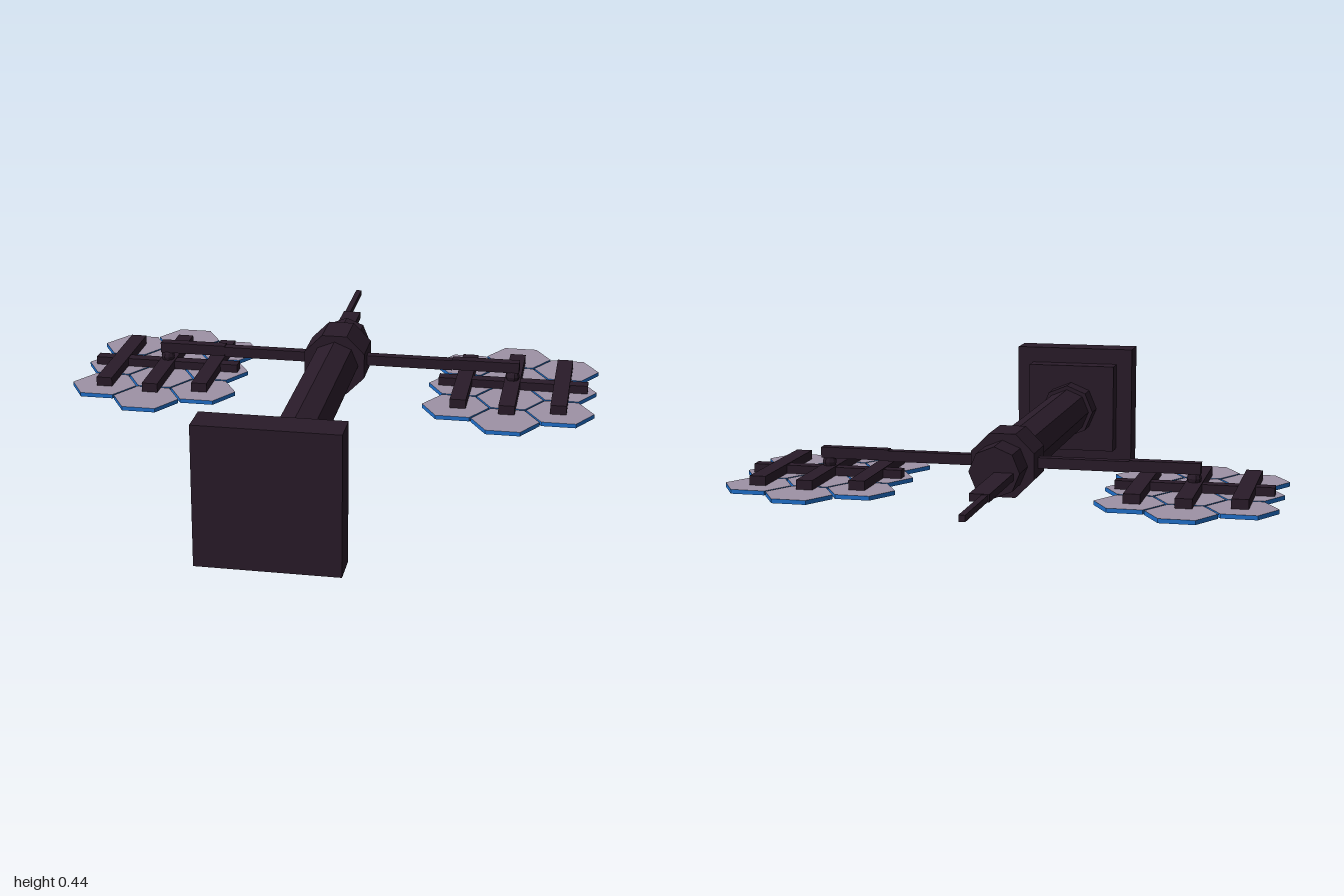
import * as THREE from 'three';

export function createModel() {
  const model = new THREE.Group();
  model.name = 'satellite';

  const mat = (name, color) => {
    const m = new THREE.MeshStandardMaterial({ color, flatShading: true });
    m.name = name;
    return m;
  };
  const hull = mat('dark hull', 0x291b29);
  const backing = mat('mauve panel back', 0x9e92a6);
  const edge = mat('blue panel edge', 0x1f70cc);
  const cell = mat('navy solar cell', 0x38395c);

  const add = (parent, name, geometry, material, x, y, z) => {
    const mesh = new THREE.Mesh(geometry, material);
    mesh.name = name;
    mesh.position.set(x, y, z);
    parent.add(mesh);
    return mesh;
  };
  // Box given by its limits on each axis
  const box = (parent, name, x0, x1, y0, y1, z0, z1) =>
    add(parent, name, new THREE.BoxGeometry(x1 - x0, y1 - y0, z1 - z0), hull,
      (x0 + x1) / 2, (y0 + y1) / 2, (z0 + z1) / 2);
  // Eight-sided prism along z
  const AXIS = 0.224;
  const octagon = (name, r, z0, z1, turn = 0) => {
    const g = new THREE.CylinderGeometry(r, r, z1 - z0, 8);
    g.rotateY(turn).rotateX(Math.PI / 2);
    return add(model, name, g, hull, 0, AXIS, (z0 + z1) / 2);
  };

  // Square stepped end plate
  box(model, 'endPlate', -0.22, 0.22, 0, 0.443, 0.893, 1);
  box(model, 'endPlateStep', -0.162, 0.162, 0.062, 0.386, 0.822, 0.893);

  // Main body
  octagon('collar', 0.098, 0.74, 0.822);
  octagon('mainTube', 0.083, -0.415, 0.74);
  octagon('hub', 0.1125, -0.3, -0.15, Math.PI / 8);

  // Off-centre antenna
  box(model, 'antennaBase', -0.063, 0, 0.201, 0.225, -0.73, -0.41);
  box(model, 'antennaTip', -0.059, -0.039, 0.203, 0.223, -1, -0.73);

  // Solar wings, one on each side
  const R = 0.1125, PITCH = 0.2035, CX = 0.608, CZ = -0.222;
  const hexagon = new THREE.CylinderGeometry(R, R, 0.014, 6);
  hexagon.rotateY(Math.PI / 6);

  for (const s of [1, -1]) {
    const wing = new THREE.Group();
    wing.name = s > 0 ? 'leftWing' : 'rightWing';
    model.add(wing);
    const sideBox = (name, x0, x1, ...rest) =>
      box(wing, name, Math.min(s * x0, s * x1), Math.max(s * x0, s * x1), ...rest);

    // Boom in two lengths, with a pivot at its end
    sideBox('boomInner', 0.08, 0.4, 0.208, 0.243, -0.241, -0.209);
    sideBox('boomOuter', 0.4, 0.63, 0.211, 0.247, -0.243, -0.207);
    add(wing, 'pivot', new THREE.SphereGeometry(0.024, 10, 6), hull, s * CX, 0.196, CZ);

    // Frame bars behind the panels
    sideBox('crossBar', 0.355, 0.865, 0.153, 0.181, -0.246, -0.204);
    for (const [x, half] of [[0.443, 0.225], [CX, 0.255], [0.777, 0.225]]) {
      sideBox('frameBar', x - 0.027, x + 0.027, 0.153, 0.184, CZ - half, CZ + half);
    }

    // Ten hexagonal panels in columns of 3, 4 and 3
    for (const [col, count] of [[-1, 3], [0, 4], [1, 3]]) {
      for (let i = 0; i < count; i++) {
        add(wing, 'solarPanel', hexagon, [edge, backing, cell],
          s * CX + col * 0.1745, 0.146, CZ + (i - (count - 1) / 2) * PITCH);
      }
    }
  }
  return model;
}
